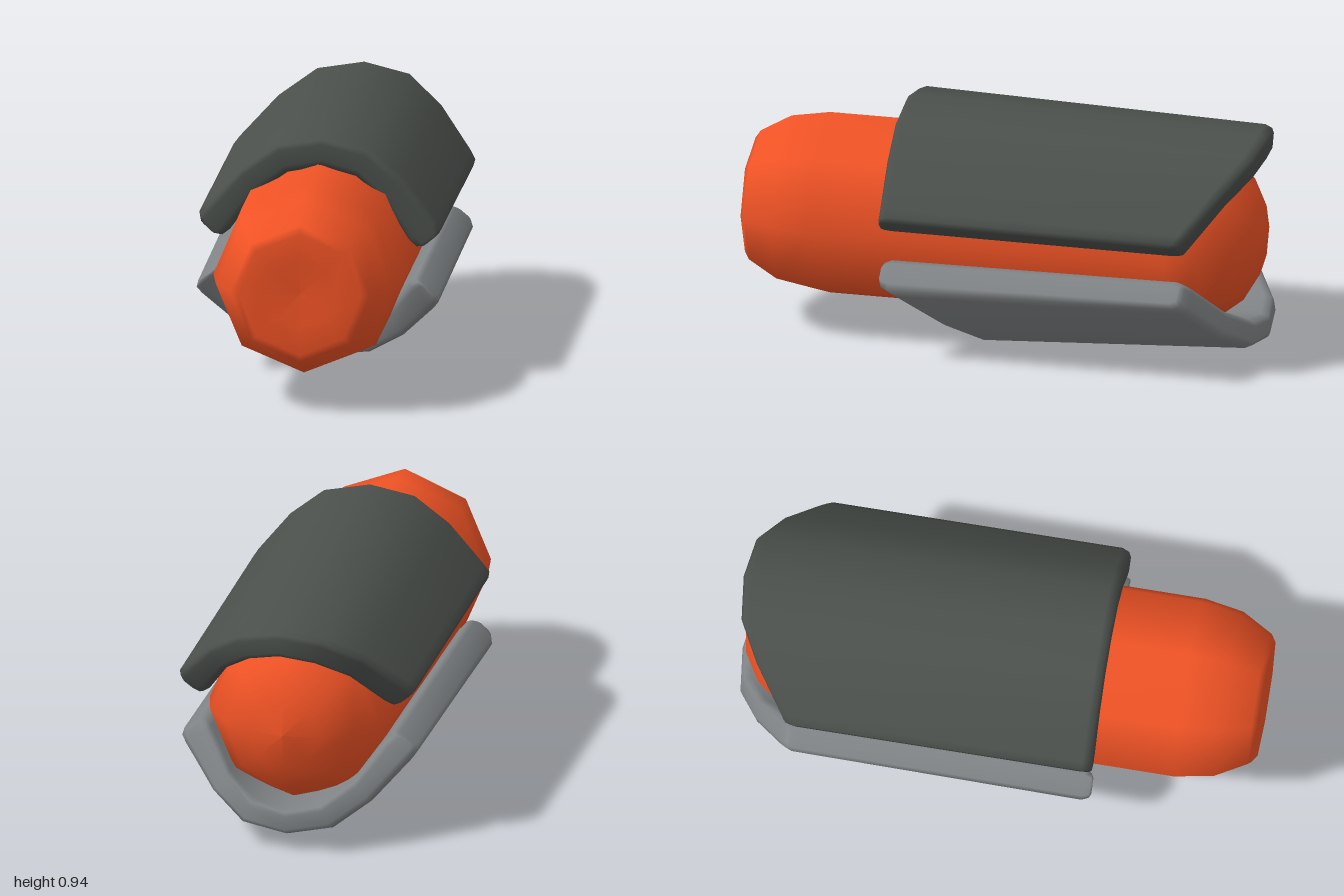
import * as THREE from 'three';

// Half cross-section of a shell: [outerX, outerY, innerX, innerY, backZ], from edge to crown
const HALF = [
  [0.455, 0.12, 0.392, 0.065, -0.755],
  [0.46, 0.145, 0.37, 0.06, -0.77],
  [0.44, 0.175, 0.34, 0.085, -0.79],
  [0.31, 0.33, 0.24, 0.235, -0.90],
  [0.175, 0.435, 0.13, 0.32, -0.98],
  [0, 0.47, 0, 0.35, -1.0],
];
const STATIONS = [
  ...HALF,
  ...HALF.slice(0, -1).reverse().map(([ox, oy, ix, iy, z]) => [-ox, oy, -ix, iy, z]),
];

// Rounded rims: [inset from the end, share of the full thickness]
const RIM = [[0, 0.5], [0.008, 0.8], [0.035, 1]];

// Thick curved plate lofted from front to back; frontZ(y) shapes its leading edge
function shellGeometry(frontZ, taper, taperStart) {
  const n = STATIONS.length;
  const loop = 2 * n;
  const rows = [
    ...RIM.map(([d, s]) => [0, -d, s]),
    [0.5, 0, 1],
    ...RIM.slice().reverse().map(([d, s]) => [1, d, s]),
  ];
  const positions = [];
  const index = [];
  const quad = (a, b, c, d) => index.push(a, b, c, a, c, d);

  for (const [t, shift, share] of rows) {
    const point = (station, inner) => {
      const [ox, oy, ix, iy, back] = station;
      const k = inner ? 0.5 + share / 2 : 0.5 - share / 2;
      const z = THREE.MathUtils.lerp(frontZ(oy), back, t) + shift;
      const y = THREE.MathUtils.lerp(oy, iy, k) * (1 - taper * (taperStart - z));
      positions.push(THREE.MathUtils.lerp(ox, ix, k), y, z);
    };
    STATIONS.forEach((s) => point(s, false));
    STATIONS.slice().reverse().forEach((s) => point(s, true));
  }

  // Skin around the section
  for (let r = 0; r < rows.length - 1; r++) {
    for (let j = 0; j < loop; j++) {
      const a = r * loop + j;
      const b = r * loop + ((j + 1) % loop);
      quad(a, a + loop, b + loop, b);
    }
  }
  // Front and back rims
  const last = (rows.length - 1) * loop;
  for (let i = 0; i < n - 1; i++) {
    const o = i, o2 = i + 1, in1 = loop - 1 - i, in2 = loop - 2 - i;
    quad(o, o2, in2, in1);
    quad(last + o, last + in1, last + in2, last + o2);
  }

  const geometry = new THREE.BufferGeometry();
  geometry.setAttribute('position', new THREE.Float32BufferAttribute(positions, 3));
  geometry.setIndex(index);
  geometry.computeVertexNormals();
  return geometry;
}

export function createModel() {
  const group = new THREE.Group();
  const centerY = 0.47;
  const tilt = -0.035;

  const add = (name, geometry, color, turn = 0) => {
    const mesh = new THREE.Mesh(geometry, new THREE.MeshStandardMaterial({ color }));
    mesh.name = name;
    mesh.position.y = centerY;
    mesh.rotation.z = turn;
    group.add(mesh);
  };

  // Eight-sided capsule core: domed back, flattened front
  const profile = [
    [0, -0.99], [0.14, -0.965], [0.25, -0.9], [0.33, -0.8], [0.362, -0.68],
    [0.362, 0.71], [0.335, 0.86], [0.265, 0.98], [0.235, 1.0], [0.13, 0.995], [0, 0.985],
  ].map(([r, z]) => new THREE.Vector2(r, z));
  add('core', new THREE.LatheGeometry(profile, 8).rotateX(Math.PI / 2), 0xf15325);

  // Upper shell has a straight front edge
  add('upperShell', shellGeometry(() => 0.41, 0.065, 0.41), 0x4b504c, tilt);

  // Lower shell is turned over, with its front edge swept back toward the keel
  add('lowerShell', shellGeometry((y) => Math.min(0.41, 0.07 + (0.47 - y) * 1.05), 0.13, 0.07),
    0x808486, Math.PI + tilt);

  return group;
}
